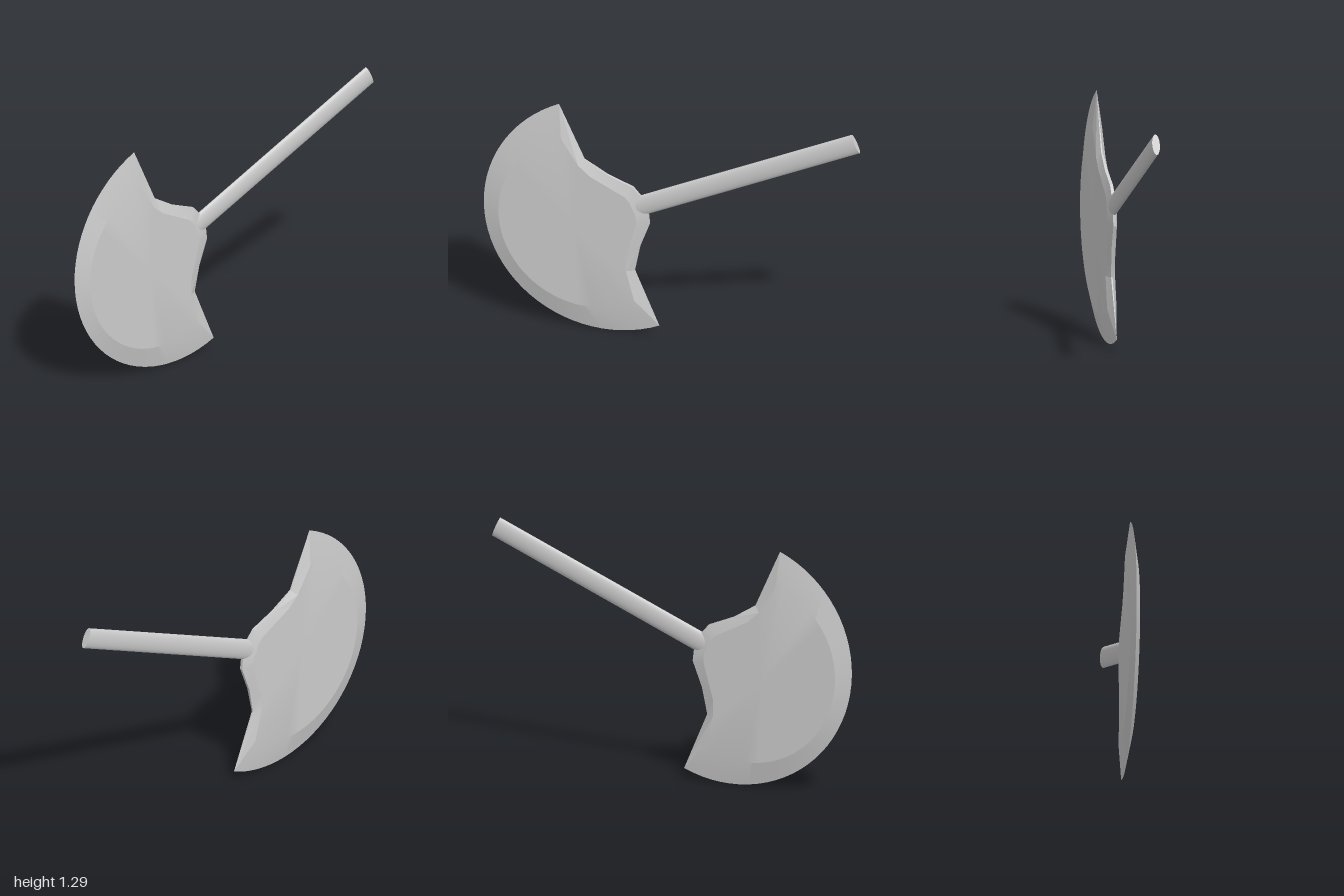
import * as THREE from 'three';
import { toCreasedNormals } from 'three/addons/utils/BufferGeometryUtils.js';

const material = () => new THREE.MeshStandardMaterial({ color: 0xcccccc });

// Closed loft through rings of equal length, each point [x, y, z]
function loft(rings) {
  const n = rings[0].length;
  const index = [];
  for (let i = 0; i < rings.length - 1; i++) {
    for (let j = 0; j < n; j++) {
      const k = (j + 1) % n;
      const a = i * n + j, b = i * n + k, c = a + n, d = b + n;
      index.push(a, b, c, b, d, c);
    }
  }
  const geometry = new THREE.BufferGeometry();
  geometry.setAttribute('position', new THREE.Float32BufferAttribute(rings.flat(2), 3));
  geometry.setIndex(index);
  return toCreasedNormals(geometry, 0.2);
}

// Half-disc blade: flat cheeks, bevelled all round, sharp on the arc.
// Local z runs along the handle axis towards the cutting edge.
function createBlade() {
  const half = 0.025;
  const outer = [], inner = [], edge = [];

  // cutting edge, with the bevel widening towards both tips
  const segments = 40;
  for (let i = 0; i <= segments; i++) {
    const t = (i / segments) * 2 - 1;
    const a = t * Math.PI / 2, b = a * 0.92;
    const r = 0.59 - 0.1 * t * t;
    outer.push([0.667 * Math.cos(a), 0.667 * Math.sin(a)]);
    inner.push([r * Math.cos(b), r * Math.sin(b)]);
    edge.push(0);
  }

  // stepped back: outer z, y, inner z, y, half thickness of the rim
  const back = [
    [-0.003, 0.335, 0.035, 0.317, 0.004],
    [-0.086, 0.215, 0, 0.24, 0.008],
    [-0.188, 0.11, -0.13, 0.078, 0.008],
    [-0.205, 0.055, -0.142, 0.04, 0.008],
  ];
  const mirrored = back.map(([z, y, iz, iy, e]) => [z, -y, iz, -iy, e]).reverse();
  for (const [z, y, iz, iy, e] of [...back, ...mirrored]) {
    outer.push([z, y]);
    inner.push([iz, iy]);
    edge.push(e);
  }

  const side = (s) => [
    inner.map(() => [s * half, 0, 0.2]),
    inner.map(([z, y]) => [s * half, y, z]),
    outer.map(([z, y], i) => [s * edge[i], y, z]),
  ];
  const blade = new THREE.Mesh(loft([...side(1), ...side(-1).reverse()]), material());
  blade.name = 'blade';
  return blade;
}

// Straight handle with an oval section
function createHandle() {
  const start = -0.1, end = -1.432;
  const geometry = new THREE.CylinderGeometry(1, 1, start - end, 32);
  geometry.rotateX(Math.PI / 2);
  geometry.scale(0.02, 0.055, 1);
  const handle = new THREE.Mesh(geometry, material());
  handle.position.z = (start + end) / 2;
  handle.name = 'handle';
  return handle;
}

export function createModel() {
  const axe = new THREE.Group();
  axe.name = 'axe';
  axe.add(createBlade(), createHandle());
  axe.rotation.x = THREE.MathUtils.degToRad(23.6);
  axe.position.set(0, 0.667, 0.333);

  const model = new THREE.Group();
  model.add(axe);
  return model;
}
